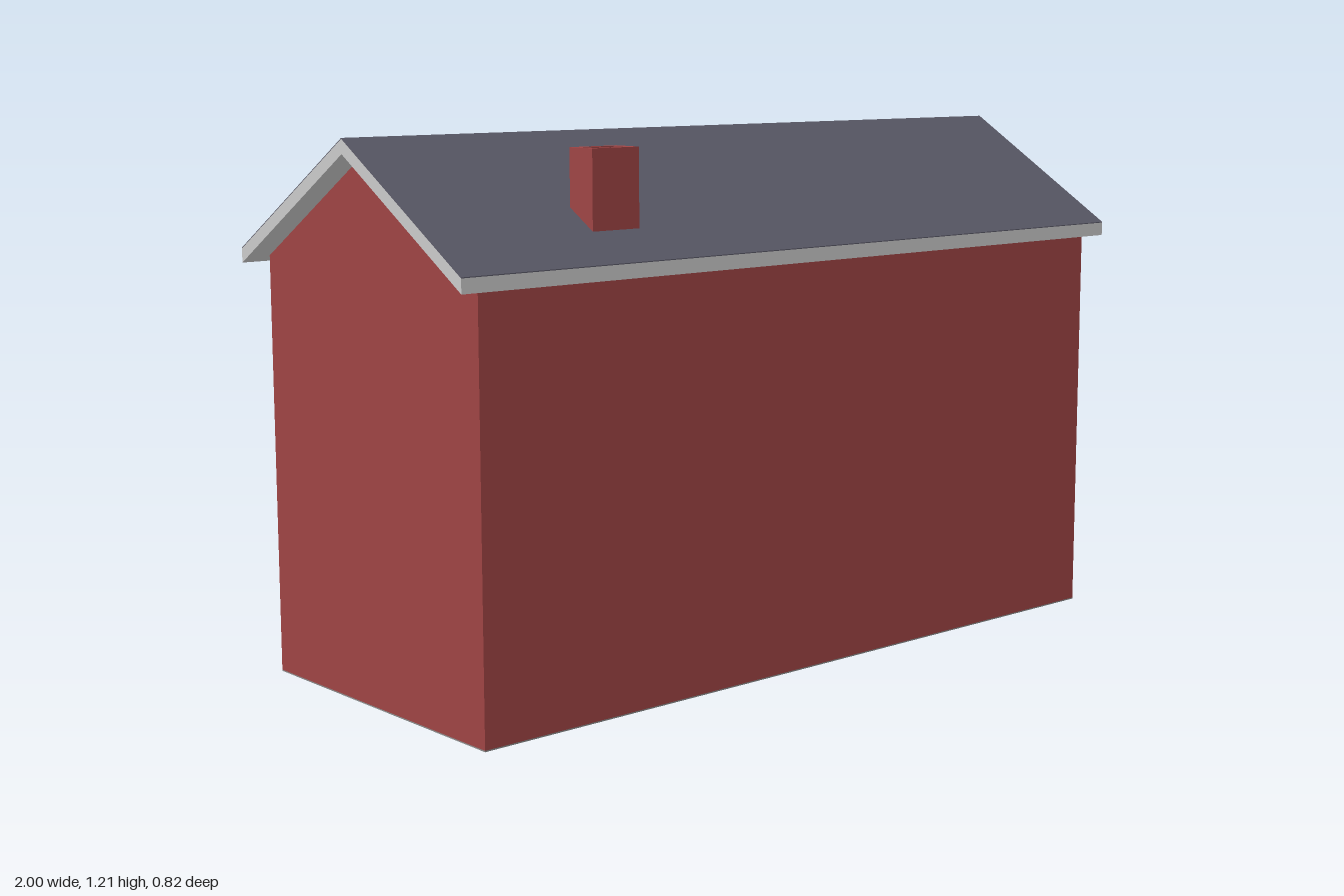
import * as THREE from 'three';

const mat = (color) => new THREE.MeshStandardMaterial({ color, flatShading: true });
const brick = mat(0xa04545), trim = mat(0xbcbcbc), slate = mat(0x5b5a68), glass = mat(0x4a88a2);
const wood = mat(0x755442), cream = mat(0xd0c3a9), canvas = mat(0xda7d42), concrete = mat(0x8c8c8c);
canvas.side = THREE.DoubleSide;

const BACK = -0.945, FACE = 0.9, REVEAL = 0.04, HALF = 0.387, BASE = 0.003;
const poly = (pts) => new THREE.Shape(pts.map(([a, b]) => new THREE.Vector2(a, b)));
const rect = (u0, u1, y0, y1) => poly([[u0, y0], [u1, y0], [u1, y1], [u0, y1]]);

export function createModel() {
  const house = new THREE.Group();
  house.name = 'shopHouse';

  const add = (name, geometry, material) => {
    const mesh = new THREE.Mesh(geometry, material);
    mesh.name = name;
    house.add(mesh);
    return mesh;
  };
  // Cross-section in (u = -z, y), swept along x from x0 to x1
  const alongX = (name, shape, x0, x1, material) => {
    const g = new THREE.ExtrudeGeometry(shape, { depth: x1 - x0, bevelEnabled: false });
    g.rotateY(Math.PI / 2).translate(x0, 0, 0);
    return add(name, g, material);
  };
  // Plan outline in (x, u = -z), raised from y0 to y1
  const upward = (name, shape, y0, y1, material) => {
    const g = new THREE.ExtrudeGeometry(shape, { depth: y1 - y0, bevelEnabled: false });
    g.rotateX(-Math.PI / 2).translate(0, y0, 0);
    return add(name, g, material);
  };

  const door = [-0.255, -0.1, 0, 0.27];
  const shop = [-0.03, 0.315, 0.06, 0.275];
  const shopGlass = [-0.015, 0.303, 0.076, 0.27];
  const upper = [[-0.27, -0.057, 0.63, 0.75], [0.075, 0.287, 0.63, 0.75]];

  // Main body behind the facade
  const gable = [[HALF, BASE], [HALF, 0.945], [0, 1.184], [-HALF, 0.945], [-HALF, BASE]];
  alongX('walls', poly(gable), BACK, FACE - REVEAL, brick);

  // Shop facade with door notch and window openings
  const facade = poly([...gable, [door[0], BASE], [door[0], door[3]], [door[1], door[3]], [door[1], BASE]]);
  facade.holes.push(...[...upper, shop].map((r) => rect(...r)));
  alongX('facade', facade, FACE - REVEAL, FACE, brick);

  // Ground slab, notched at the door
  const inner = FACE - REVEAL;
  upward('floor', poly([[BACK, -HALF], [FACE, -HALF], [FACE, door[0]], [inner, door[0]],
    [inner, door[1]], [FACE, door[1]], [FACE, HALF], [BACK, HALF]]), 0, BASE, concrete);

  // Recessed door and upper panes
  alongX('door', rect(...door), inner, inner + 0.004, wood);
  upper.forEach((r, i) => alongX('upperWindow' + (i + 1), rect(...r), inner, inner + 0.004, glass));

  // Shop window in its frame
  const frame = rect(...shop);
  frame.holes.push(rect(...shopGlass));
  alongX('shopWindowFrame', frame, inner, FACE + 0.01, trim);
  alongX('shopWindow', rect(...shopGlass), inner, inner + 0.01, glass);

  alongX('signBoard', rect(-0.33, -0.1, 0.308, 0.4), FACE, FACE + 0.006, cream);

  // Roof deck with a thin slate covering
  const chevron = (top, bottom) => poly([[-0.41, 0.928 + bottom], [0, 1.18 + bottom], [0.41, 0.928 + bottom],
    [0.41, 0.928 + top], [0, 1.18 + top], [-0.41, 0.928 + top]]);
  alongX('roofDeck', chevron(0.031, 0), -1, 0.95, trim);
  alongX('roofSlates', chevron(0.033, 0.031), -1, 0.95, slate);

  // Hollow chimney with a floor in the flue
  const stack = rect(-0.6, -0.475, -0.315, -0.24);
  stack.holes.push(rect(-0.582, -0.493, -0.301, -0.254));
  upward('chimney', stack, 0.99, 1.19, brick);
  upward('chimneyFlue', rect(-0.585, -0.49, -0.303, -0.252), 1.0, 1.045, brick);

  // Awning: sloped canvas and valance, with a cheek at each end and an open underside
  const [u0, u1] = [-0.055, 0.355];
  const sheet = (name, length, x, y, tilt) => {
    const m = add(name, new THREE.PlaneGeometry(u1 - u0, length).rotateY(Math.PI / 2), canvas);
    m.position.set(x, y, -(u0 + u1) / 2);
    m.rotation.z = tilt;
  };
  const run = 1 - FACE, drop = 0.075;
  sheet('awningCanvas', Math.hypot(run, drop), FACE + run / 2, 0.38 - drop / 2, Math.atan2(run, drop));
  sheet('awningValance', 0.03, 1, 0.29, 0);
  for (const u of [u0, u1]) {
    const cheek = poly([[FACE, 0.275], [1, 0.275], [1, 0.305], [FACE, 0.38]]);
    add('awningCheek', new THREE.ShapeGeometry(cheek), canvas).position.z = -u;
  }

  return house;
}
